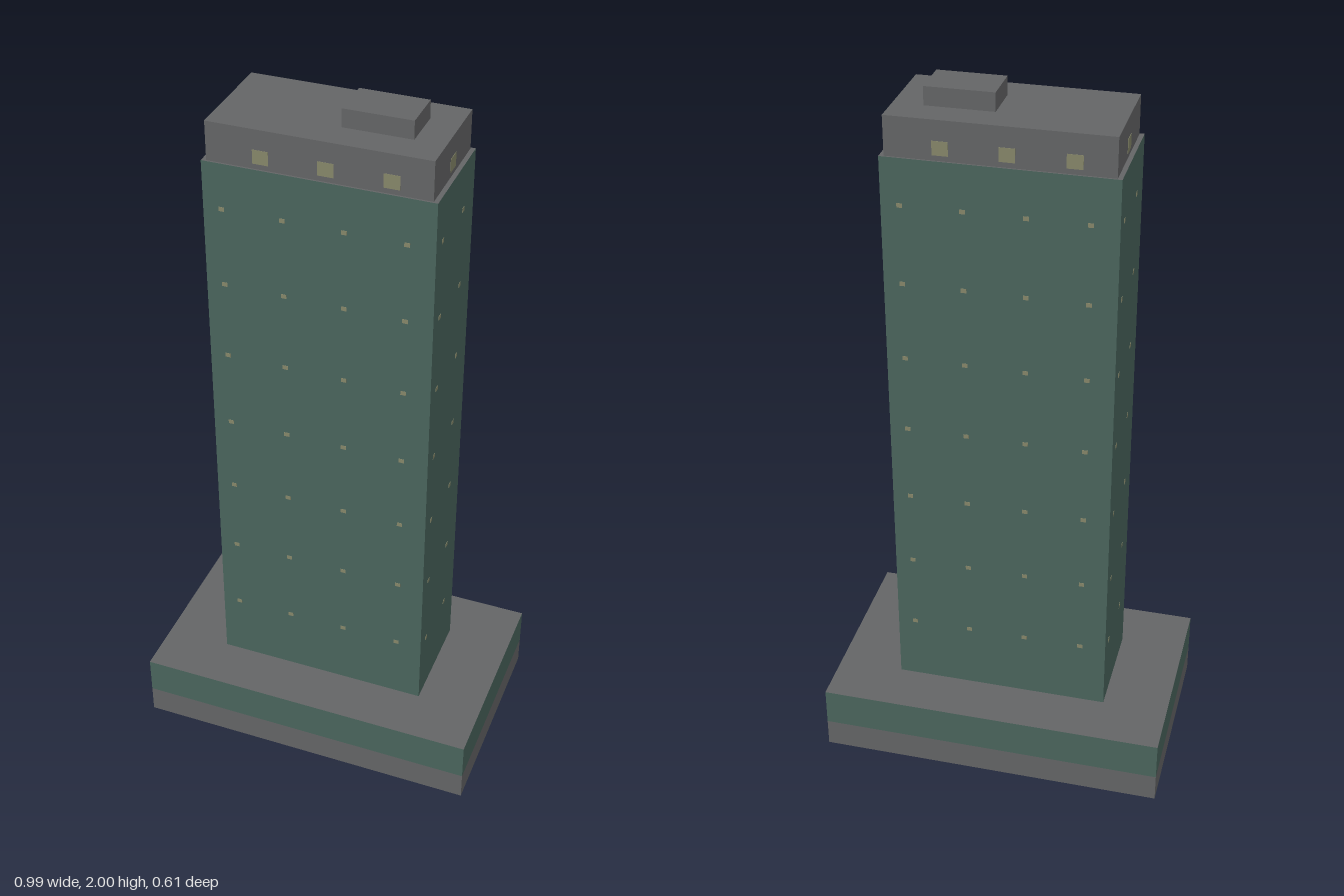
import * as THREE from 'three';

const paint = (name, color, side = THREE.FrontSide) =>
  Object.assign(new THREE.MeshStandardMaterial({ color, side }), { name });

export function createModel() {
  const model = new THREE.Group();
  model.name = 'towerBlock';
  const concrete = paint('concreteGrey', 0x646566, THREE.DoubleSide);
  const glass = paint('greenGlass', 0x4a655d, THREE.DoubleSide);
  const light = paint('litWindow', 0x86876a);

  const add = (name, geometry, material, x = 0, y = 0, z = 0, parent = model) => {
    const mesh = new THREE.Mesh(geometry, material);
    mesh.name = name;
    mesh.position.set(x, y, z);
    parent.add(mesh);
    return mesh;
  };

  // Box standing between two heights
  const block = (name, w, d, y0, y1, material, x = 0) =>
    add(name, new THREE.BoxGeometry(w, y1 - y0, d), material, x, (y0 + y1) / 2, 0);

  // Calls back for four outward-facing sides: a turned group, face width, face distance
  const aroundSides = (name, w, d, build) => {
    for (let i = 0; i < 4; i++) {
      const side = new THREE.Group();
      side.name = name;
      side.rotation.y = i * Math.PI / 2;
      model.add(side);
      build(side, i % 2 ? d : w, (i % 2 ? w : d) / 2);
    }
  };

  // Podium: open-bottomed shell with a grey plinth and a green upper band
  const podiumW = 0.99, podiumD = 0.605, podiumTop = 0.195, plinthTop = 0.083;
  aroundSides('podiumSide', podiumW, podiumD, (side, width, dist) => {
    const band = (name, y0, y1, material) =>
      add(name, new THREE.PlaneGeometry(width, y1 - y0), material, 0, (y0 + y1) / 2, dist, side);
    band('plinthWall', 0, plinthTop, concrete);
    band('podiumGlazing', plinthTop, podiumTop, glass);
  });
  add('podiumRoof', new THREE.PlaneGeometry(podiumW, podiumD).rotateX(-Math.PI / 2),
    concrete, 0, podiumTop, 0);

  // Tower shaft with a grey roof, set-back crown and rooftop plant room
  const towerW = 0.616, towerD = 0.301, towerTop = 1.843;
  const crownW = 0.591, crownD = 0.291, crownTop = 1.95;
  block('towerShaft', towerW, towerD, podiumTop + 0.001, towerTop,
    [glass, glass, concrete, concrete, glass, glass]);
  block('crown', crownW, crownD, towerTop, crownTop, concrete);
  block('plantRoom', 0.185, 0.12, crownTop, 2, concrete, 0.122);

  // Small lit windows in a regular grid on every face of the shaft
  const pane = new THREE.BoxGeometry(0.015, 0.012, 0.002);
  aroundSides('towerLights', towerW, towerD, (side, width, dist) => {
    for (let x = -width / 2 + 0.05; x < width / 2 - 0.03; x += 0.164)
      for (let row = 0; row < 7; row++)
        add('litPane', pane, light, x, 0.392 + row * 0.2205, dist, side);
  });

  // Larger lit windows on the crown
  const crownPane = new THREE.BoxGeometry(0.042, 0.038, 0.002);
  aroundSides('crownLights', crownW, crownD, (side, width, dist) => {
    for (const x of width > 0.4 ? [-0.15, 0.02, 0.19] : [0])
      add('crownWindow', crownPane, light, x, 1.876, dist, side);
  });

  return model;
}
